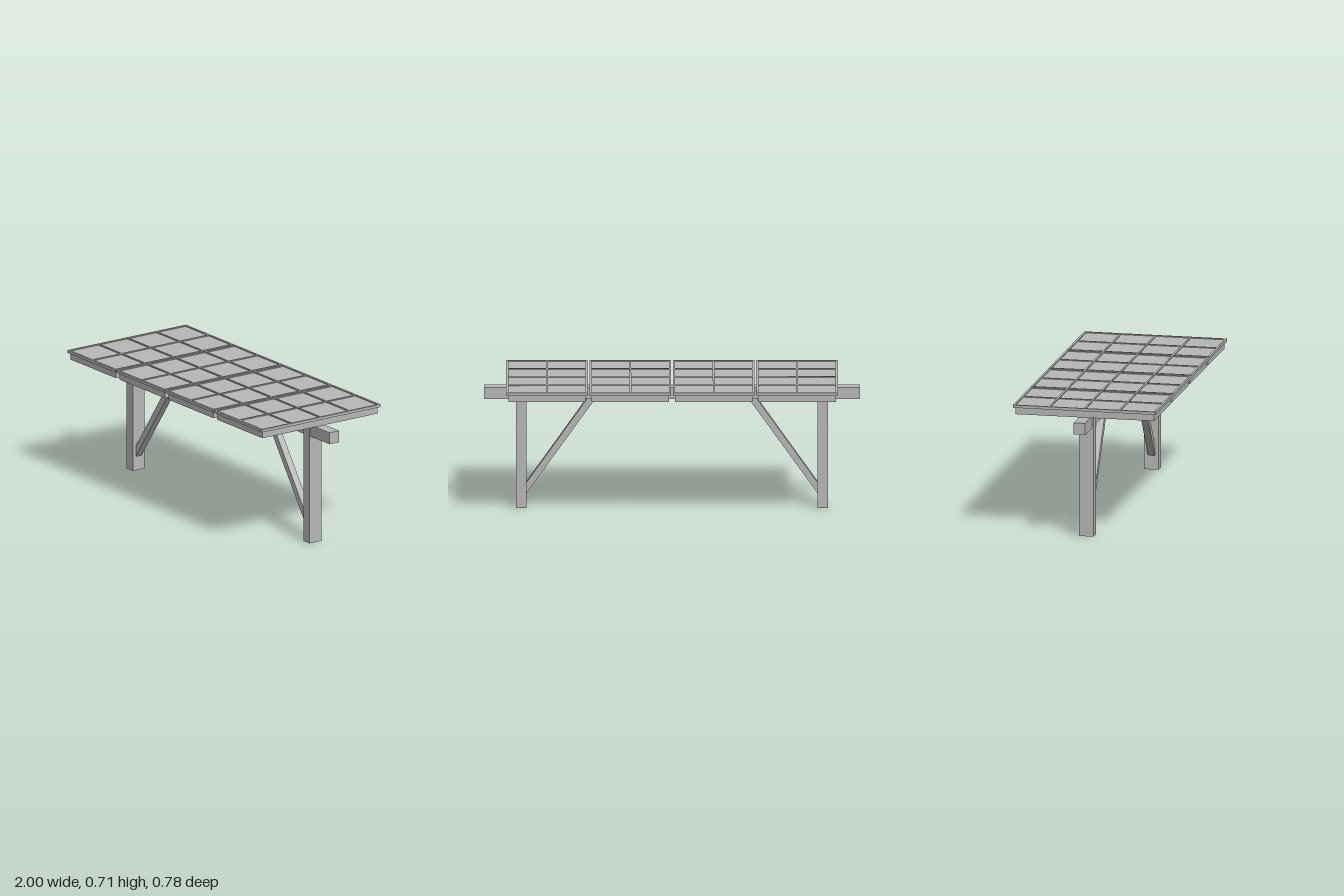
import * as THREE from 'three';

export function createModel() {
  const model = new THREE.Group();
  model.name = 'panelCanopy';
  const grey = new THREE.MeshStandardMaterial({ color: 0xb8b8b8 });
  grey.name = 'grey';

  const box = (parent, name, w, h, d, x, y, z) => {
    const mesh = new THREE.Mesh(new THREE.BoxGeometry(w, h, d), grey);
    mesh.name = name;
    mesh.position.set(x, y, z);
    parent.add(mesh);
  };

  // Long carrying beam
  box(model, 'beam', 2, 0.064, 0.062, 0, 0.625, 0);

  // Posts clasping the beam, each with a diagonal brace
  for (const side of [-1, 1]) {
    box(model, 'post', 0.056, 0.657, 0.078, side * 0.801, 0.3285, 0);

    const outline = [[0.773, 0.077], [0.773, 0.136], [0.451, 0.593], [0.407, 0.593]];
    const shape = new THREE.Shape(outline.map(([x, y]) => new THREE.Vector2(side * x, y)));
    const geometry = new THREE.ExtrudeGeometry(shape, { depth: 0.038, bevelEnabled: false });
    geometry.translate(0, 0, -0.019);
    const brace = new THREE.Mesh(geometry, grey);
    brace.name = 'brace';
    model.add(brace);
  }

  // Four panels: tray, recessed sheet, rim and dividing ribs
  const width = 0.434, depth = 0.778, rim = 0.012, rib = 0.01;
  const ribHeight = 0.005, ribY = 0.7065;
  for (let i = 0; i < 4; i++) {
    const panel = new THREE.Group();
    panel.name = 'panel';
    panel.position.x = (i - 1.5) * 0.443;
    model.add(panel);

    box(panel, 'tray', 0.411, 0.038, 0.754, 0, 0.676, 0);
    box(panel, 'sheet', width, 0.01, depth, 0, 0.699, 0);
    for (const s of [-1, 1]) {
      box(panel, 'sideRim', rim, ribHeight, depth, s * (width - rim) / 2, ribY, 0);
      box(panel, 'endRim', width - 2 * rim, ribHeight, rim, 0, ribY, s * (depth - rim) / 2);
    }
    box(panel, 'longRib', rib, ribHeight, depth - 2 * rim, 0, ribY, 0);
    const crossLength = (width - 2 * rim - rib) / 2;
    for (const z of [-0.19, 0, 0.19]) {
      for (const s of [-1, 1]) {
        box(panel, 'crossRib', crossLength, ribHeight, rib, s * (crossLength + rib) / 2, ribY, z);
      }
    }
  }
  return model;
}
